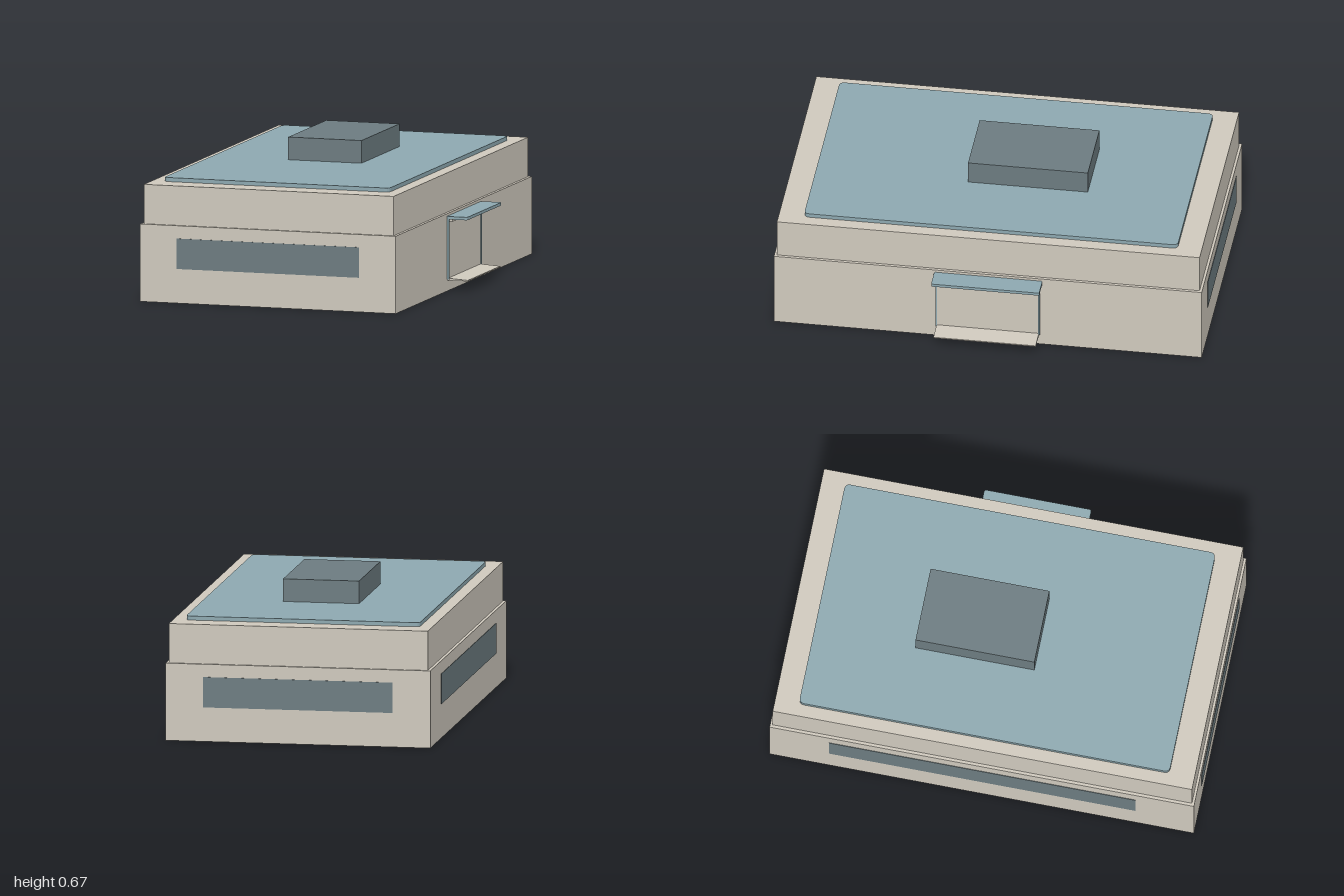
import * as THREE from 'three';

const paint = (name, color) => {
  const m = new THREE.MeshStandardMaterial({ color });
  m.name = name;
  return m;
};

export function createModel() {
  const cream = paint('cream wall', 0xcfc9bd);
  const teal = paint('blue grey roof', 0x8da8b0);
  const slate = paint('dark slate', 0x6c7b80);
  const model = new THREE.Group();
  model.name = 'building';

  const add = (name, geometry, material) => {
    const mesh = new THREE.Mesh(geometry, material);
    mesh.name = name;
    model.add(mesh);
    return mesh;
  };

  // Box given by its limits on each axis
  const box = (name, material, [x0, x1], [y0, y1], [z0, z1]) => {
    const mesh = add(name, new THREE.BoxGeometry(x1 - x0, y1 - y0, z1 - z0), material);
    mesh.position.set((x0 + x1) / 2, (y0 + y1) / 2, (z0 + z1) / 2);
    return mesh;
  };

  // Flat slab with small rounded corners of radius r
  const slab = (name, material, [x0, x1], [y0, y1], [z0, z1], r) => {
    const s = new THREE.Shape();
    s.moveTo(x0 + r, -z1);
    s.lineTo(x1 - r, -z1);
    s.quadraticCurveTo(x1, -z1, x1, -z1 + r);
    s.lineTo(x1, -z0 - r);
    s.quadraticCurveTo(x1, -z0, x1 - r, -z0);
    s.lineTo(x0 + r, -z0);
    s.quadraticCurveTo(x0, -z0, x0, -z0 - r);
    s.lineTo(x0, -z1 + r);
    s.quadraticCurveTo(x0, -z1, x0 + r, -z1);
    const g = new THREE.ExtrudeGeometry(s, { depth: y1 - y0, bevelEnabled: false, curveSegments: 3 });
    g.rotateX(-Math.PI / 2);
    g.translate(0, y0, 0);
    return add(name, g, material);
  };

  // Two storeys, the upper one slightly set back
  box('lowerStorey', cream, [-0.672, 0.572], [0, 0.362], [-1, 1]);
  box('upperStorey', cream, [-0.658, 0.558], [0.362, 0.546], [-0.988, 0.988]);

  // Roof covering and rooftop plant room
  slab('roofCovering', teal, [-0.6, 0.498], [0.546, 0.565], [-0.876, 0.87], 0.025);
  box('plantRoom', slate, [-0.23, 0.127], [0.565, 0.671], [-0.4, 0.16]);

  // Window bands on the front, back and right walls
  const band = [0.16, 0.302];
  box('frontWindow', slate, [-0.494, 0.394], band, [0.998, 1.002]);
  box('backWindow', slate, [-0.494, 0.394], band, [-1.002, -0.998]);
  box('rightWindow', slate, [-0.674, -0.67], band, [-0.72, 0.725]);

  // Side entrance: canopy, posts, panel, lip and step
  slab('entranceCanopy', teal, [0.57, 0.672], [0.336, 0.35], [-0.255, 0.25], 0.01);
  for (const z of [-0.24, 0.24]) {
    box('entrancePost', teal, [0.57, 0.581], [0.055, 0.336], [z - 0.004, z + 0.004]);
  }
  box('entrancePanel', cream, [0.57, 0.575], [0.055, 0.336], [-0.236, 0.236]);
  box('entranceLip', cream, [0.57, 0.595], [0.324, 0.336], [-0.236, 0.236]);
  const step = new THREE.Shape([[0.57, 0.049], [0.671, 0.049], [0.671, 0.054], [0.57, 0.06]]
    .map(([x, y]) => new THREE.Vector2(x, y)));
  const stepGeometry = new THREE.ExtrudeGeometry(step, { depth: 0.478, bevelEnabled: false });
  stepGeometry.translate(0, 0, -0.239);
  add('entranceStep', stepGeometry, cream);

  return model;
}
